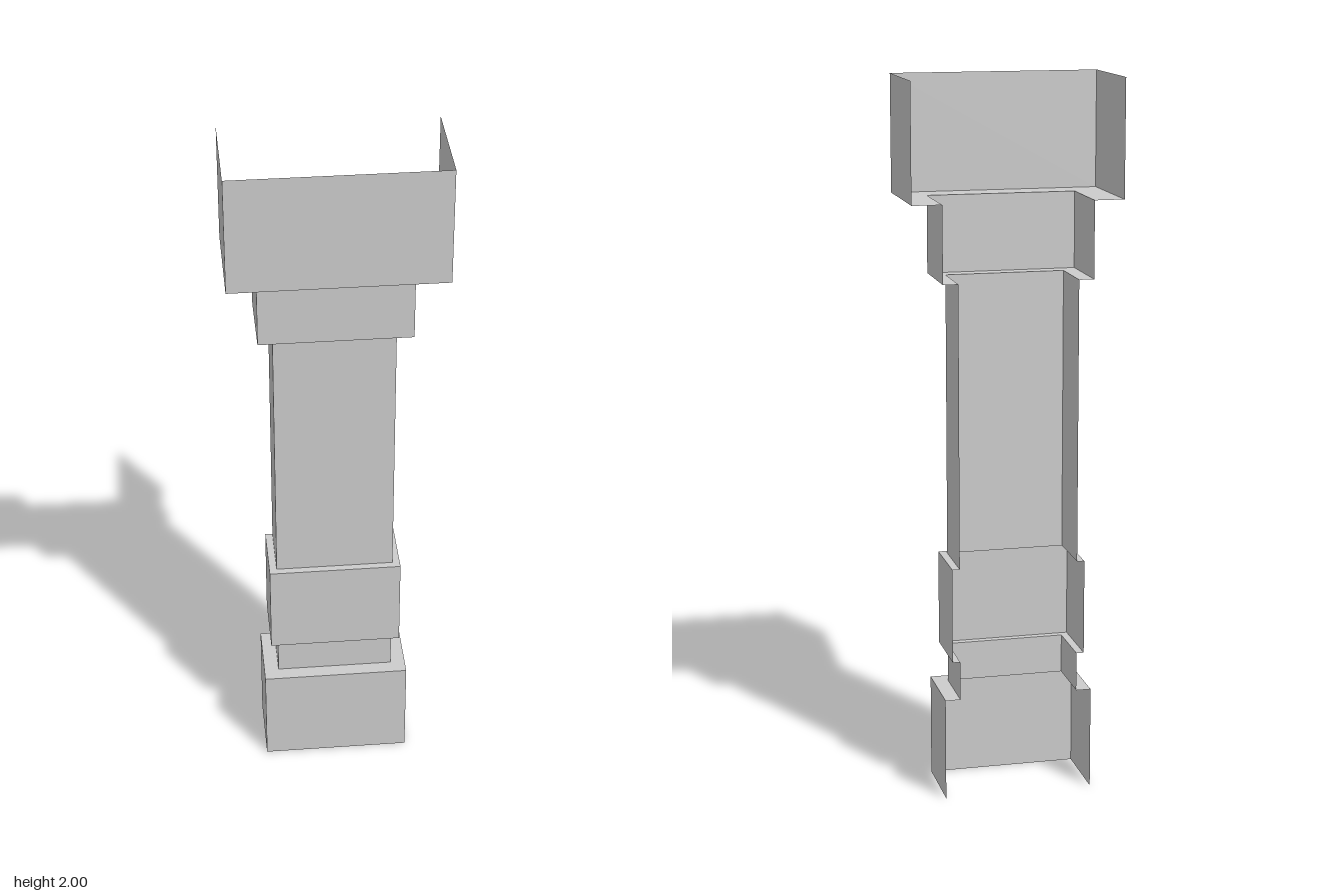
import * as THREE from 'three';

const BACK = -0.146;

// U-shaped cross-section, open at the back
function section(w, y) {
  const front = w + BACK;
  return [[-w, y, BACK], [-w, y, front], [w, y, front], [w, y, BACK]];
}

// Three-sided sheet joining a lower section to an upper one
function sheet(name, material, w0, y0, w1, y1) {
  const a = section(w0, y0), b = section(w1, y1);
  const pos = [];
  for (let i = 0; i < 3; i++) {
    pos.push(...a[i], ...a[i + 1], ...b[i + 1], ...a[i], ...b[i + 1], ...b[i]);
  }
  const geometry = new THREE.BufferGeometry();
  geometry.setAttribute('position', new THREE.Float32BufferAttribute(pos, 3));
  geometry.computeVertexNormals();
  const mesh = new THREE.Mesh(geometry, material);
  mesh.name = name;
  return mesh;
}

export function createModel() {
  const group = new THREE.Group();
  group.name = 'pilaster';
  const material = new THREE.MeshStandardMaterial({
    color: 0xcccccc, flatShading: true, side: THREE.DoubleSide,
  });

  // Tiers from the ground up: half width, bottom and top height
  const tiers = [
    { name: 'base', w: 0.209, y0: 0, y1: 0.29 },
    { name: 'lowerNeck', w: 0.167, y0: 0.29, y1: 0.4 },
    { name: 'band', w: 0.188, y0: 0.4, y1: 0.668 },
    { name: 'shaft', w: 0.167, y0: 0.668, y1: 1.46 },
    { name: 'upperNeck', w: 0.209, y0: 1.46, y1: 1.674 },
    { name: 'capital', w: 0.292, y0: 1.674, y1: 2 },
  ];

  tiers.forEach((t, i) => {
    group.add(sheet(t.name, material, t.w, t.y0, t.w, t.y1));
    // Flat ledge up to the next tier
    const next = tiers[i + 1];
    if (next) group.add(sheet(t.name + 'Ledge', material, t.w, t.y1, next.w, t.y1));
  });
  return group;
}
